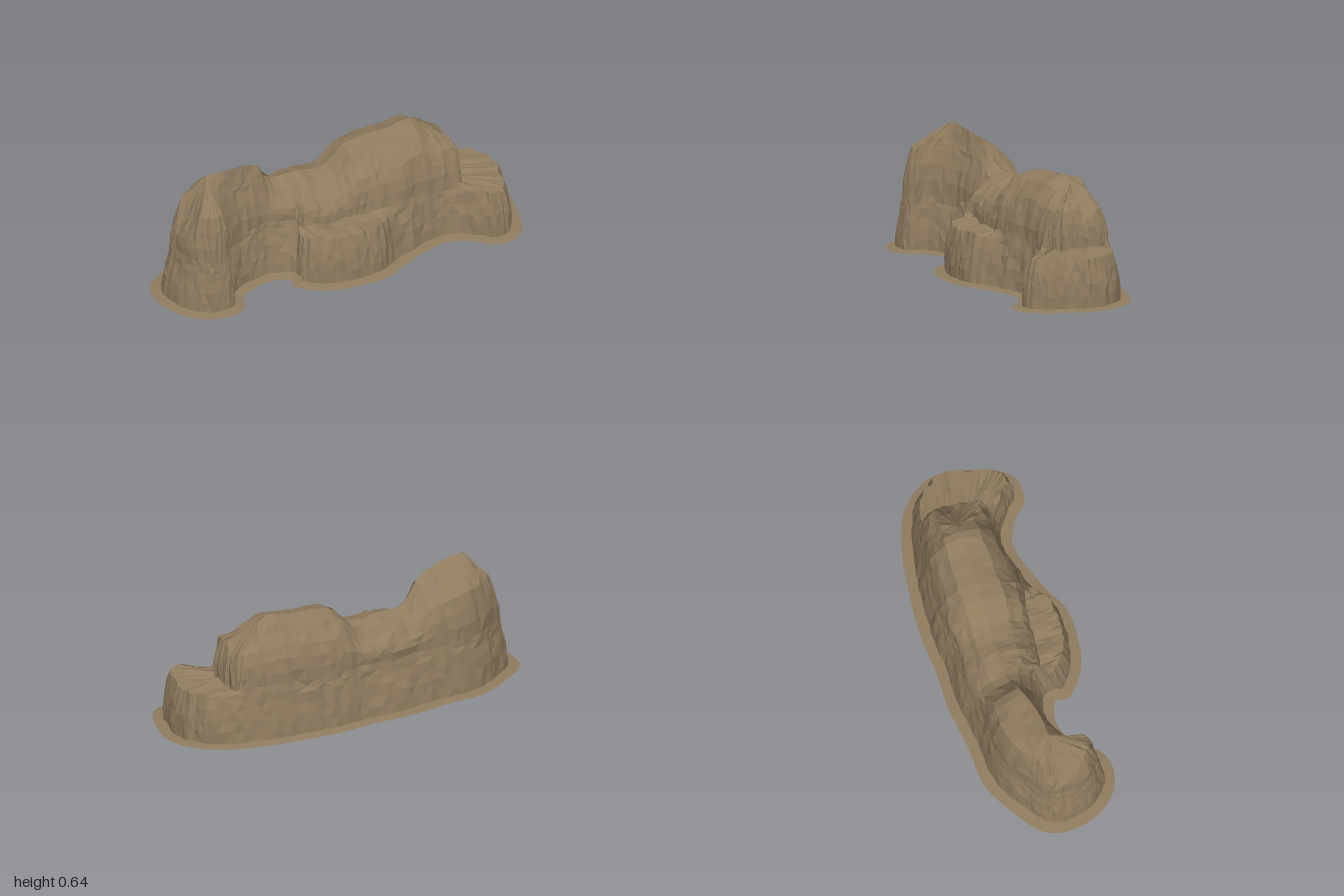
import * as THREE from 'three';

// Ground outline, running along the back, round the ends and along the front:
// x, z, and the shift (dx, dz) from the rim of a low ledge to the upper wall.
const OUTLINE = [
  [-1, .03, 0, 0], [-.97, -.1, 0, 0], [-.85, -.2, 0, 0], [-.65, -.31, 0, 0], [-.42, -.33, 0, 0],
  [-.2, -.36, 0, 0], [0, -.36, 0, 0], [.2, -.375, 0, 0], [.45, -.36, 0, 0], [.65, -.33, 0, 0],
  [.85, -.26, -.11, -.01], [.97, -.13, -.17, -.03], [1, 0, -.2, -.05], [.97, .13, -.18, -.08],
  [.93, .25, -.16, -.15], [.85, .335, -.15, -.16], [.73, .335, -.12, -.15], [.65, .26, -.06, -.07],
  [.53, .21, 0, 0], [.4, .24, 0, -.02], [.25, .3, 0, -.07], [.13, .36, 0, -.12], [0, .37, 0, -.14],
  [-.15, .35, 0, -.13], [-.27, .29, -.01, -.1], [-.33, .22, -.03, -.06], [-.32, .165, 0, -.01],
  [-.4, .13, 0, 0], [-.5, .145, 0, 0], [-.6, .2, 0, 0], [-.63, .28, 0, 0], [-.72, .325, 0, 0],
  [-.85, .3, 0, 0], [-.95, .2, 0, 0],
];

// Skyline of the ridge: x, y
const SKYLINE = [
  [-.95, .1], [-.9, .3], [-.85, .43], [-.8, .56], [-.76, .635], [-.7, .645], [-.6, .635], [-.45, .605],
  [-.38, .57], [-.35, .5], [-.3, .465], [-.15, .465], [-.08, .45], [0, .455], [.05, .5], [.1, .55],
  [.2, .565], [.35, .57], [.45, .595], [.5, .58], [.58, .5], [.66, .46], [.69, .4], [.72, .28], [1, .26],
];

const SAMPLES = 170;
const { lerp, clamp, smoothstep } = THREE.MathUtils;

function skyline(x) {
  for (let i = 1; i < SKYLINE.length; i++) {
    const [x0, y0] = SKYLINE[i - 1], [x1, y1] = SKYLINE[i];
    if (x <= x1) return lerp(y0, y1, clamp((x - x0) / (x1 - x0), 0, 1));
  }
  return .26;
}

// Repeatable noise in -1..1
function hash(a, b) {
  const s = Math.sin(a * 127.1 + b * 311.7) * 43758.5453;
  return (s - Math.floor(s)) * 2 - 1;
}

// Inward direction of the outline, averaged over a stretch of it
function inwardAt(curve, t, span) {
  const along = curve.getPoint((t + span) % 1).sub(curve.getPoint((t + 1 - span) % 1)).normalize();
  return new THREE.Vector3(-along.z, 0, along.x);
}

// Profile of the cliff at one place on the outline, from the ground to the ridge
function cliffProfile(ground, shifts, i) {
  const t = i / SAMPLES;
  const base = ground.getPoint(t), shift = shifts.getPoint(t);
  const inward = inwardAt(ground, t, .018);
  const crease = .006 * hash(i, 1) + .008 * Math.sin(i * .9) * hash(Math.floor(i / 5), 2);
  const at = (inset, y) => base.clone().addScaledVector(inward, inset).setY(y);

  // Ridge line and the shoulder below it
  const shoulder = base.clone().add(shift).addScaledVector(inwardAt(ground, t, .04), .135 + crease * .5);
  const ridge = new THREE.Vector3(clamp(shoulder.x, -.71, .52), 0, 0);
  ridge.z = lerp(0, -.085, smoothstep(ridge.x, -.65, -.25));
  ridge.y = skyline(ridge.x);
  shoulder.y = Math.max(.3, Math.min(ridge.y * .8, skyline(shoulder.x)));
  const crown = shoulder.clone().lerp(ridge, .4);
  crown.y = lerp(shoulder.y, ridge.y, lerp(.4, .75, smoothstep(ridge.x, -.6, 0)));
  crown.y = Math.min(crown.y, Math.max(shoulder.y, skyline(crown.x)));

  // Lower wall: an even slope, or a stepped rim where there is a ledge
  const wallBase = at(.055 + crease * .6, .012);
  const slope = (y) => wallBase.clone().lerp(shoulder, (y / shoulder.y) ** 1.25).setY(y);
  const ledge = smoothstep(shift.length(), .05, .11);
  const rim = slope(.22).lerp(at(.092 + crease, .252 + .006 * hash(i, 3)), ledge);
  const foot = slope(.28).lerp(at(.1 + crease, .262 + .005 * hash(i, 4)).add(shift), ledge);
  const lowerBulge = lerp(.004, .012, ledge);

  const keys = [at(0, .004), wallBase, rim, foot, shoulder, crown, ridge];
  const steps = [1, 4, 2, 3, 2, 2];
  const points = [keys[0]];
  steps.forEach((n, k) => {
    for (let j = 1; j <= n; j++) {
      const p = keys[k].clone().lerp(keys[k + 1], j / n);
      const arc = Math.sin(Math.PI * j / n);
      // Swell the walls, and roughen everything but the ground and ridge
      if (k === 1) p.addScaledVector(inward, -lowerBulge * arc);
      if (k === 3) p.addScaledVector(inward, -.012 * arc);
      if (k > 0 && !(k === 5 && j === n)) {
        p.addScaledVector(inward, .005 * hash(i, points.length + 10));
        p.y += (k < 4 ? .008 : .004) * hash(Math.floor(i / 2), points.length + 40);
      }
      points.push(p);
    }
  });
  return points;
}

function rockGeometry() {
  const ground = new THREE.CatmullRomCurve3(OUTLINE.map(([x, z]) => new THREE.Vector3(x, 0, z)), true);
  const shifts = new THREE.CatmullRomCurve3(
    OUTLINE.map(([, , x, z]) => new THREE.Vector3(x, 0, z)), true, 'catmullrom', .3);
  const positions = [], indices = [];
  let rows = 0;
  for (let i = 0; i < SAMPLES; i++) {
    const profile = cliffProfile(ground, shifts, i);
    rows = profile.length;
    profile.forEach((p) => positions.push(p.x, p.y, p.z));
  }
  for (let i = 0; i < SAMPLES; i++) {
    const next = (i + 1) % SAMPLES;
    for (let r = 0; r < rows - 1; r++) {
      const a = i * rows + r, b = next * rows + r;
      if ((i + r) % 2) indices.push(a, a + 1, b, b, a + 1, b + 1);
      else indices.push(a, a + 1, b + 1, a, b + 1, b);
    }
  }
  const geometry = new THREE.BufferGeometry();
  geometry.setAttribute('position', new THREE.Float32BufferAttribute(positions, 3));
  geometry.setIndex(indices);
  const faceted = geometry.toNonIndexed();
  faceted.computeVertexNormals();
  return faceted;
}

export function createModel() {
  const group = new THREE.Group();
  group.name = 'rockFormation';
  // Open underneath, so both sides show
  const sandstone = new THREE.MeshStandardMaterial({
    color: 0x8f7c5f, flatShading: true, side: THREE.DoubleSide });
  sandstone.name = 'sandstone';
  const cliff = new THREE.Mesh(rockGeometry(), sandstone);
  cliff.name = 'cliff';
  group.add(cliff);
  return group;
}
